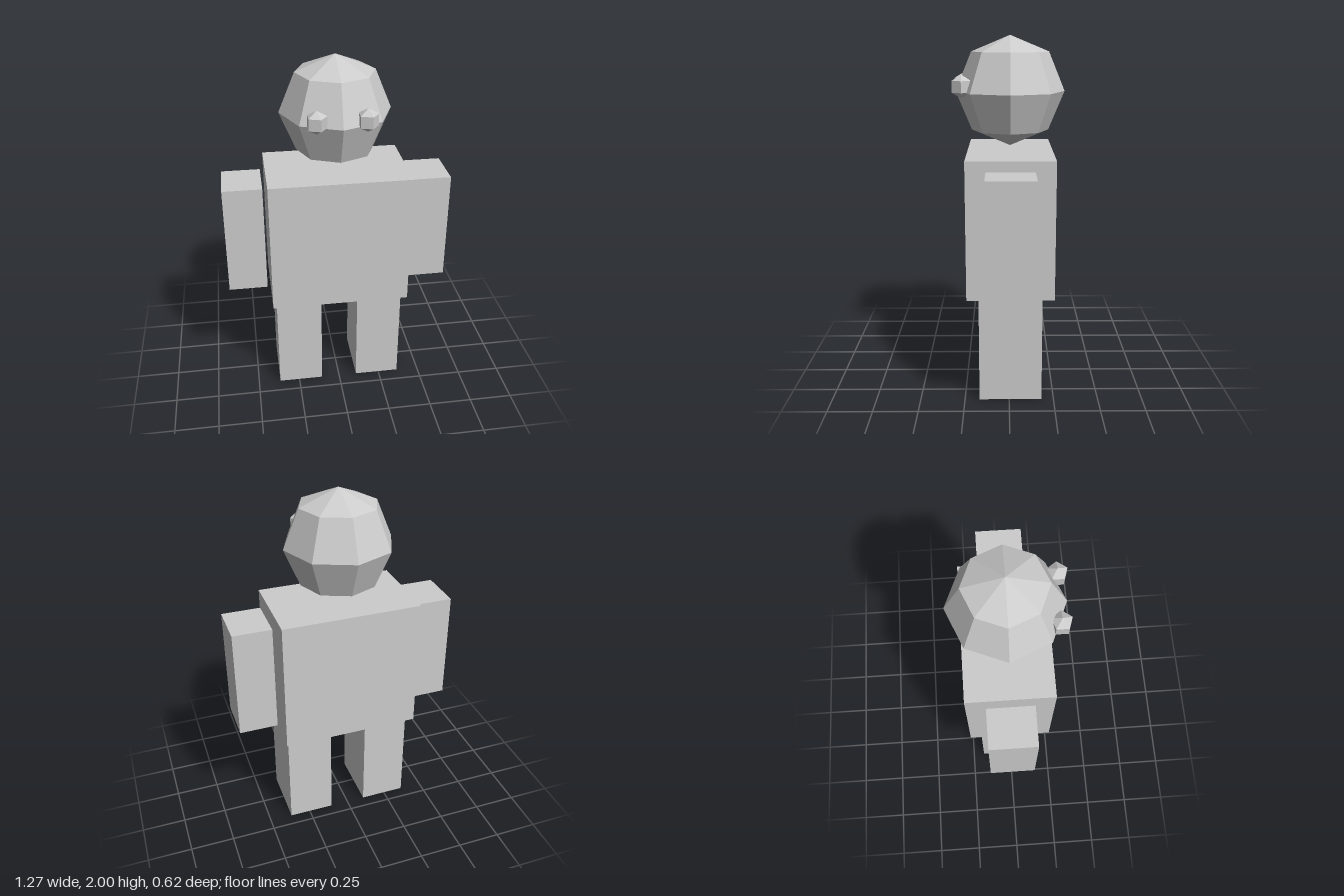
import * as THREE from 'three';

const Z = -0.007; // shared depth centre of the body

export function createModel() {
  const model = new THREE.Group();
  model.name = 'blockFigure';

  const lightGrey = new THREE.MeshStandardMaterial({ color: 0xcccccc, flatShading: true });
  lightGrey.name = 'lightGrey';

  const add = (name, geometry, x, y, z) => {
    const mesh = new THREE.Mesh(geometry, lightGrey);
    mesh.name = name;
    mesh.position.set(x, y, z);
    model.add(mesh);
  };

  // Torso and faceted head
  add('torso', new THREE.BoxGeometry(0.784, 0.765, 0.48), 0, 0.985, Z);
  add('head', new THREE.SphereGeometry(0.304, 8, 4), 0, 1.696, Z);

  // Paired limbs and eyes
  for (const [side, s] of [['left', 1], ['right', -1]]) {
    add(side + 'Arm', new THREE.BoxGeometry(0.219, 0.632, 0.26), s * 0.524, 0.998, Z);
    add(side + 'Leg', new THREE.BoxGeometry(0.262, 0.602, 0.35), s * 0.238, 0.301, Z);
    // Five-sided eye with one corner pointing to +x on both sides
    add(side + 'Eye', new THREE.SphereGeometry(0.063, 5, 3, Math.PI), s * 0.131, 1.73, 0.256);
  }

  return model;
}
